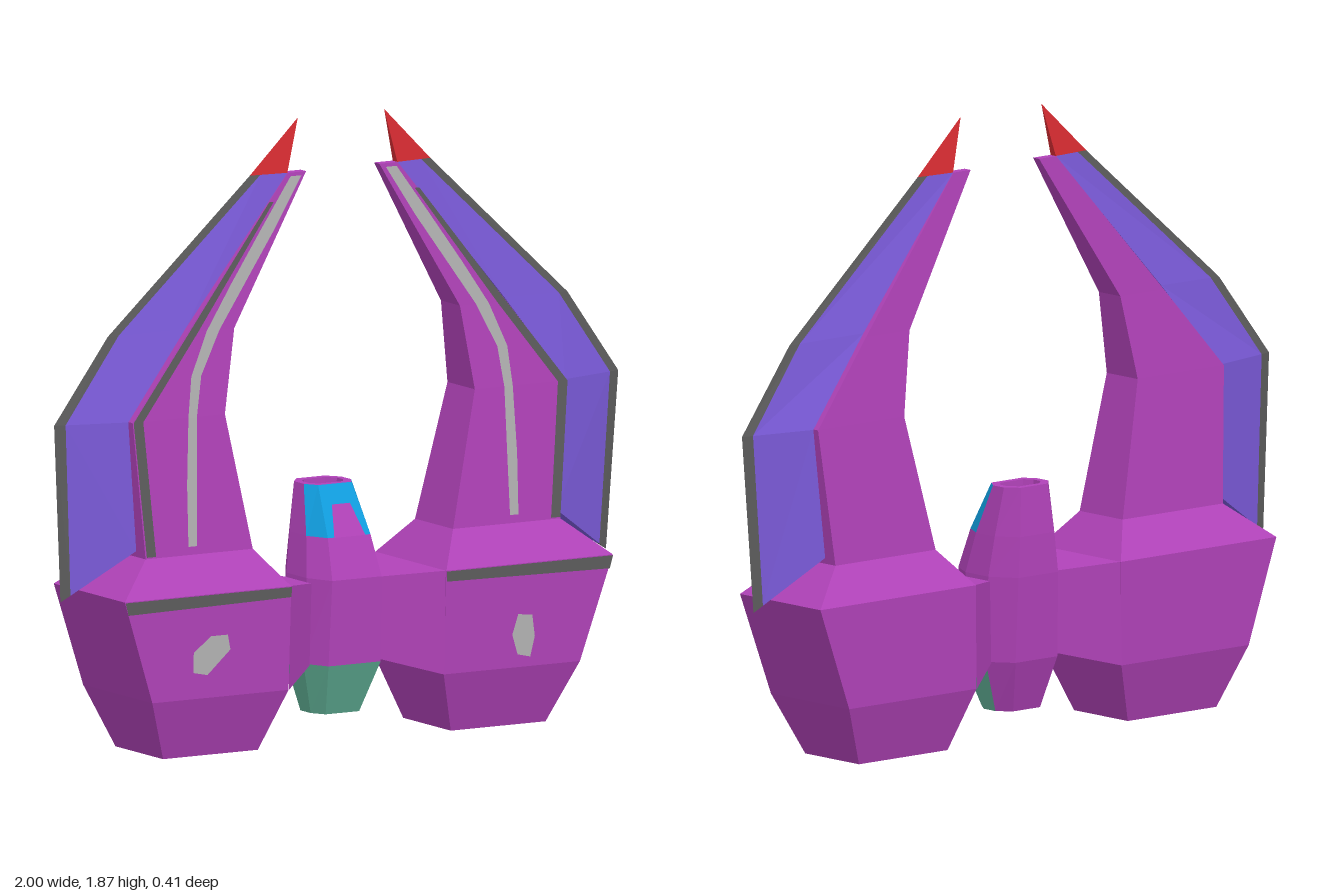
import * as THREE from 'three';

const paint = (name, color) => {
  const m = new THREE.MeshStandardMaterial({ color });
  m.name = name;
  return m;
};

// Points are [x, y, z]; a face is a convex polygon, counter-clockwise from outside.
const poly = (tris, ...p) => {
  for (let i = 1; i < p.length - 1; i++) tris.push([p[0], p[i], p[i + 1]]);
};

// Joins rings of points; keep(level, side) chooses which faces to include.
function loft(rings, { bottom = false, top = false, keep = () => true } = {}) {
  const tris = [];
  for (let k = 0; k < rings.length - 1; k++) {
    const a = rings[k], b = rings[k + 1], n = a.length;
    for (let i = 0; i < n; i++) {
      const j = (i + 1) % n;
      if (keep(k, i)) poly(tris, a[i], a[j], b[j], b[i]);
    }
  }
  if (bottom) poly(tris, ...[...rings[0]].reverse());
  if (top) poly(tris, ...rings[rings.length - 1]);
  return tris;
}

// Faceted mesh; side -1 mirrors it across x and restores the winding.
function facet(name, material, tris, side = 1) {
  const pos = tris.flatMap(([a, b, c]) => (side > 0 ? [a, b, c] : [a, c, b]))
    .flatMap(([x, y, z]) => [x * side, y, z]);
  const g = new THREE.BufferGeometry();
  g.setAttribute('position', new THREE.Float32BufferAttribute(pos, 3));
  g.computeVertexNormals();
  const mesh = new THREE.Mesh(g, material);
  mesh.name = name;
  return mesh;
}

// Horizontal rectangle and octagon cross-sections
const rect = (y, x0, x1, z) => [[x1, y, z], [x1, y, -z], [x0, y, -z], [x0, y, z]];
const octagon = (y, h, zf, zb) => {
  const c = 0.3 * (zf - zb);
  const half = [[0.7 * h, y, zf], [h, y, zf - c], [h, y, zb + c], [0.6 * h, y, zb]];
  return [...half, ...half.map(([x, yy, z]) => [-x, yy, z]).reverse()];
};

// Arm sections: y, inner x, outer x, half depth
const ARM = [
  [0.615, 0.355, 0.735, 0.1], [1.02, 0.443, 0.77, 0.072],
  [1.27, 0.4, 0.565, 0.05], [1.71, 0.13, 0.195, 0.014],
];
const armDepth = (y) => {
  let k = 0;
  while (k < ARM.length - 2 && y > ARM[k + 1][0]) k++;
  const [a, b] = [ARM[k], ARM[k + 1]];
  return a[3] + (b[3] - a[3]) * (y - a[0]) / (b[0] - a[0]);
};
// Painted strip on the arm front from rows of [left x, right x, y]
const armStrip = (rows) => {
  const tris = [];
  const pt = (x, y) => [x, y, armDepth(y) + 0.004];
  for (let i = 0; i < rows.length - 1; i++) {
    const [l, r, y] = rows[i], [l2, r2, y2] = rows[i + 1];
    poly(tris, pt(l, y), pt(r, y), pt(r2, y2), pt(l2, y2));
  }
  return tris;
};

// Fin stations: inner edge [x, y, half depth], outer edge [x, y]
const FIN = [
  [[0.745, 0.635, 0.065], [0.967, 0.49]], [[0.774, 1.02, 0.055], [1.0, 1.02]],
  [[0.565, 1.28, 0.038], [0.815, 1.27]], [[0.195, 1.71, 0.012], [0.32, 1.71]],
];
function finParts() {
  const blade = [], border = [], tip = [];
  const st = FIN.map(([[x, y, z], [ox, oy]]) => {
    const w = 0.035 / Math.hypot(ox - x, oy - y);
    const at = (s) => [ox + (x - ox) * w, oy + (y - oy) * w, s * z * w];
    return { f: [x, y, z], b: [x, y, -z], mf: at(1), mb: at(-1), o: [ox, oy, 0] };
  });
  for (let i = 0; i < st.length - 1; i++) {
    const p = st[i], q = st[i + 1];
    poly(blade, p.f, p.mf, q.mf, q.f);
    poly(blade, p.mb, p.b, q.b, q.mb);
    poly(blade, p.b, p.f, q.f, q.b);
    poly(border, p.mf, p.o, q.o, q.mf);
    poly(border, p.o, p.mb, q.mb, q.o);
  }
  poly(blade, st[0].f, st[0].b, st[0].mb, st[0].mf);
  poly(border, st[0].mf, st[0].mb, st[0].o);
  const end = st[3], point = [0.153, 1.87, 0];
  poly(tip, end.f, end.o, point);
  poly(tip, end.o, end.b, point);
  poly(tip, end.b, end.f, point);
  poly(tip, end.f, end.b, end.o);
  return { blade, border, tip };
}

export function createModel() {
  const purple = paint('purple hull', 0xb042b8);
  const violet = paint('violet fin', 0x7a5ad8);
  const dark = paint('dark grey trim', 0x5c5c5c);
  const light = paint('light grey marking', 0xb2b2b2);
  const red = paint('red tip', 0xd82c32);
  const blue = paint('blue window', 0x109ee0);
  const teal = paint('teal belly', 0x62b398);

  const craft = new THREE.Group();
  craft.name = 'craft';

  // Central body, leaning back towards a hollow top
  const body = new THREE.Group();
  body.name = 'body';
  const rings = [
    octagon(0.09, 0.085, 0.06, -0.075), octagon(0.245, 0.132, 0.12, -0.125),
    octagon(0.5, 0.125, 0.125, -0.14), octagon(0.62, 0.108, 0.08, -0.138),
    octagon(0.765, 0.084, 0, -0.128), octagon(0.765, 0.062, -0.022, -0.106),
    octagon(0.69, 0.058, -0.026, -0.102),
  ];
  const isBelly = (k, i) => k === 0 && (i < 2 || i > 4);
  const isWindow = (k, i) => k === 3 && (i === 0 || i > 5);
  body.add(
    facet('hull', purple, loft(rings, { top: true, keep: (k, i) => !isBelly(k, i) && !isWindow(k, i) })),
    facet('belly', teal, loft(rings, { bottom: true, keep: isBelly })),
    facet('window', blue, loft(rings, { keep: isWindow })),
  );
  const notch = [];
  poly(notch, [-0.055, 0.62, 0.084], [0.055, 0.62, 0.084], [0.032, 0.71, 0.034], [-0.032, 0.71, 0.034]);
  body.add(facet('windowNotch', purple, notch));
  craft.add(body);

  for (const side of [1, -1]) {
    const half = new THREE.Group();
    half.name = side > 0 ? 'leftSide' : 'rightSide';
    const add = (name, mat, tris) => half.add(facet(name, mat, tris, side));

    // Pod with a recessed underside
    add('pod', purple, loft([
      rect(0.06, 0.4, 0.62, 0.08), rect(0.018, 0.342, 0.678, 0.125),
      rect(0.2, 0.275, 0.758, 0.182), rect(0.51, 0.275, 0.865, 0.187),
      rect(0.615, 0.355, 0.735, 0.1),
    ], { bottom: true, top: true }));

    // Tapered link between body and pod
    const link = (x, y0, y1, z) => [[x, y0, -z], [x, y1, -z], [x, y1, z], [x, y0, z]];
    add('link', purple, loft([link(0.11, 0.245, 0.485, 0.055), link(0.275, 0.2, 0.51, 0.184)]));

    // Curved arm and its painted stripes
    add('arm', purple, loft(ARM.map(([y, a, b, z]) => rect(y, a, b, z)), { top: true }));
    add('armEdgeStripe', dark, armStrip([
      [0.7, 0.733, 0.62], [0.735, 0.769, 1.02], [0.53, 0.562, 1.27], [0.25, 0.266, 1.63],
    ]));
    add('armStripe', light, armStrip([
      [0.555, 0.585, 0.64], [0.55, 0.585, 0.82], [0.545, 0.575, 1.02], [0.525, 0.56, 1.14],
      [0.455, 0.5, 1.27], [0.36, 0.41, 1.4], [0.25, 0.3, 1.55], [0.15, 0.188, 1.7],
    ]));

    // Band and patch on the pod front
    const band = [], patch = [];
    poly(band, [0.275, 0.478, 0.19], [0.853, 0.47, 0.19], [0.864, 0.508, 0.19], [0.275, 0.508, 0.19]);
    add('podBand', dark, band);
    const spot = side > 0
      ? [[0.53, 0.24], [0.575, 0.23], [0.59, 0.29], [0.58, 0.355], [0.53, 0.36], [0.51, 0.3]]
      : [[0.57, 0.27], [0.62, 0.28], [0.62, 0.34], [0.56, 0.385], [0.5, 0.385], [0.49, 0.34]].reverse();
    const ordered = side > 0 ? spot : [...spot].reverse();
    poly(patch, ...ordered.map(([x, y]) => [x, y, 0.191]));
    add('podPatch', light, patch);

    // Swept fin with a trimmed edge and a coloured point
    const { blade, border, tip } = finParts();
    add('fin', violet, blade);
    add('finBorder', dark, border);
    add('finTip', red, tip);
    craft.add(half);
  }

  // Slight overall lean and turn
  craft.rotation.set(0, -0.018, -0.02);
  craft.position.set(-0.02, 0, 0);

  const model = new THREE.Group();
  model.name = 'model';
  model.add(craft);
  return model;
}
